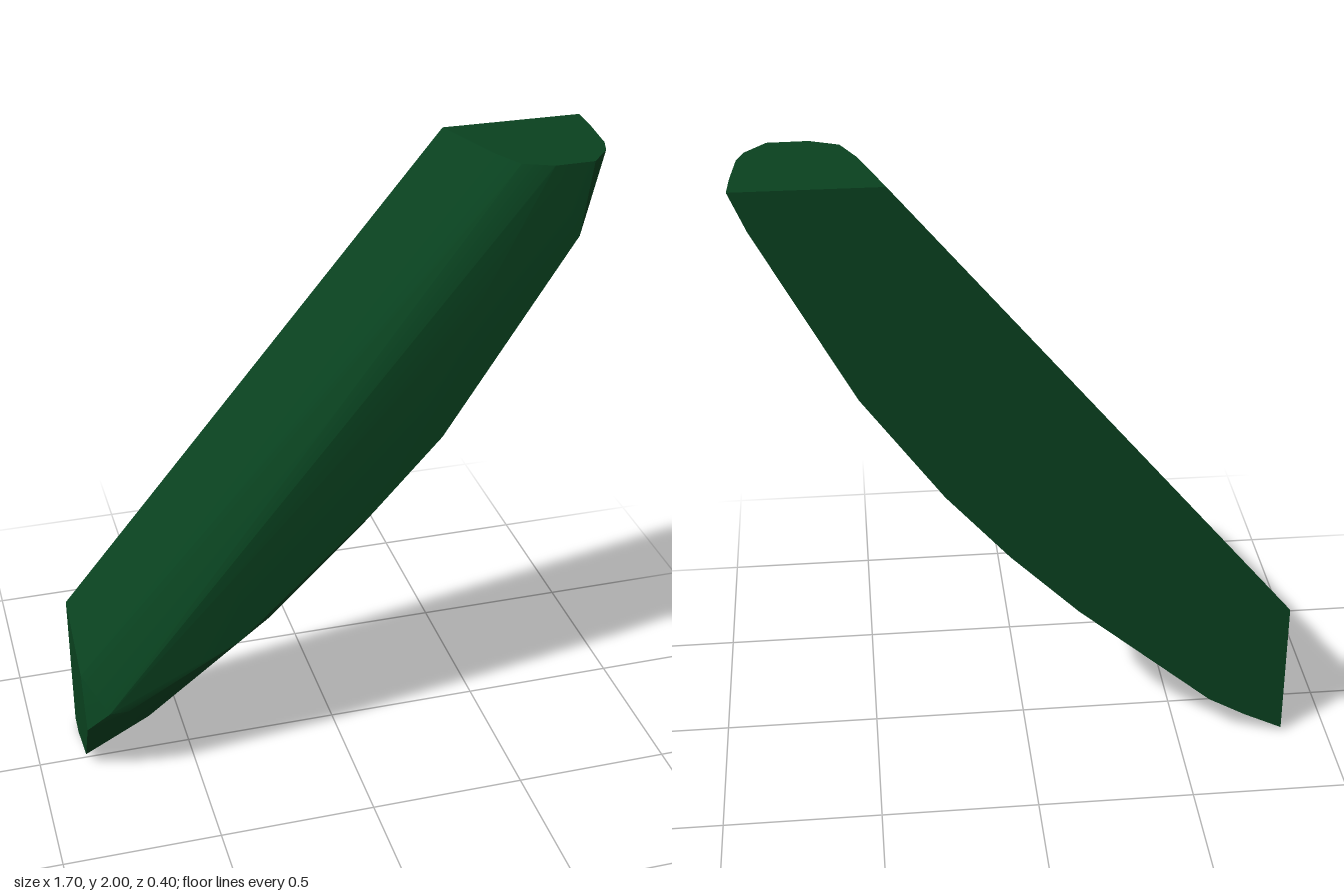
import * as THREE from 'three';
import { toCreasedNormals } from 'three/addons/utils/BufferGeometryUtils.js';
import { ConvexGeometry } from 'three/addons/geometries/ConvexGeometry.js';

const BACK = -0.2;

// Lower cut end, a flat face at x = -0.85: (y, z)
const LOWER_END = [
  [0.49, BACK], [0.375, 0.06], [0.21, 0.13], [0.04, 0.035], [0, -0.14], [0.015, BACK],
];

// Upper cut end, a flat face at y = 2: (x, z)
const UPPER_END = [
  [0.405, BACK], [0.48, 0.04], [0.53, 0.15], [0.62, 0.19], [0.745, 0.187],
  [0.81, 0.11], [0.83, 0.05], [0.845, -0.1], [0.85, BACK],
];

// Stations along the curve: front crease (x, y, z) and outer back edge (x, y)
const STATIONS = [
  [-0.78, 0.29, 0.172, -0.72, 0.08],
  [-0.72, 0.29, 0.172, -0.6, 0.15],
  [-0.35, 0.5, 0.18, -0.16, 0.53],
  [0.1, 0.93, 0.188, 0.06, 0.75],
  [0.1, 0.93, 0.188, 0.26, 0.98],
  [0.3, 1.15, 0.192, 0.51, 1.33],
  [0.71, 1.77, 0.19, 0.8, 1.88],
];

// Gentle crest along the middle of the front
const CREST = [[-0.35, 0.75, 0.182], [0.05, 1.15, 0.191], [0.38, 1.55, 0.199]];

// Rounding from front crease to outer edge: (fraction across, z)
const ROUNDING = [[0.62, 0.1], [0.83, 0.045], [0.97, -0.1]];

function shellGeometry() {
  const points = CREST.map((p) => new THREE.Vector3(...p));
  for (const [y, z] of LOWER_END) points.push(new THREE.Vector3(-0.85, y, z));
  for (const [x, z] of UPPER_END) points.push(new THREE.Vector3(x, 2, z));
  for (const [fx, fy, fz, ox, oy] of STATIONS) {
    const front = new THREE.Vector3(fx, fy, fz);
    const outer = new THREE.Vector3(ox, oy, BACK);
    points.push(front, outer);
    for (const [f, z] of ROUNDING) {
      points.push(new THREE.Vector3().lerpVectors(front, outer, f).setZ(z));
    }
  }
  return toCreasedNormals(new ConvexGeometry(points), 0.45);
}

export function createModel() {
  const green = new THREE.MeshStandardMaterial({ color: 0x09411f });
  green.name = 'dark green';

  // Curved half shell with a flat back and flat cut ends
  const shell = new THREE.Mesh(shellGeometry(), green);
  shell.name = 'curvedShell';

  const model = new THREE.Group();
  model.name = 'curvedPanel';
  model.add(shell);
  return model;
}
